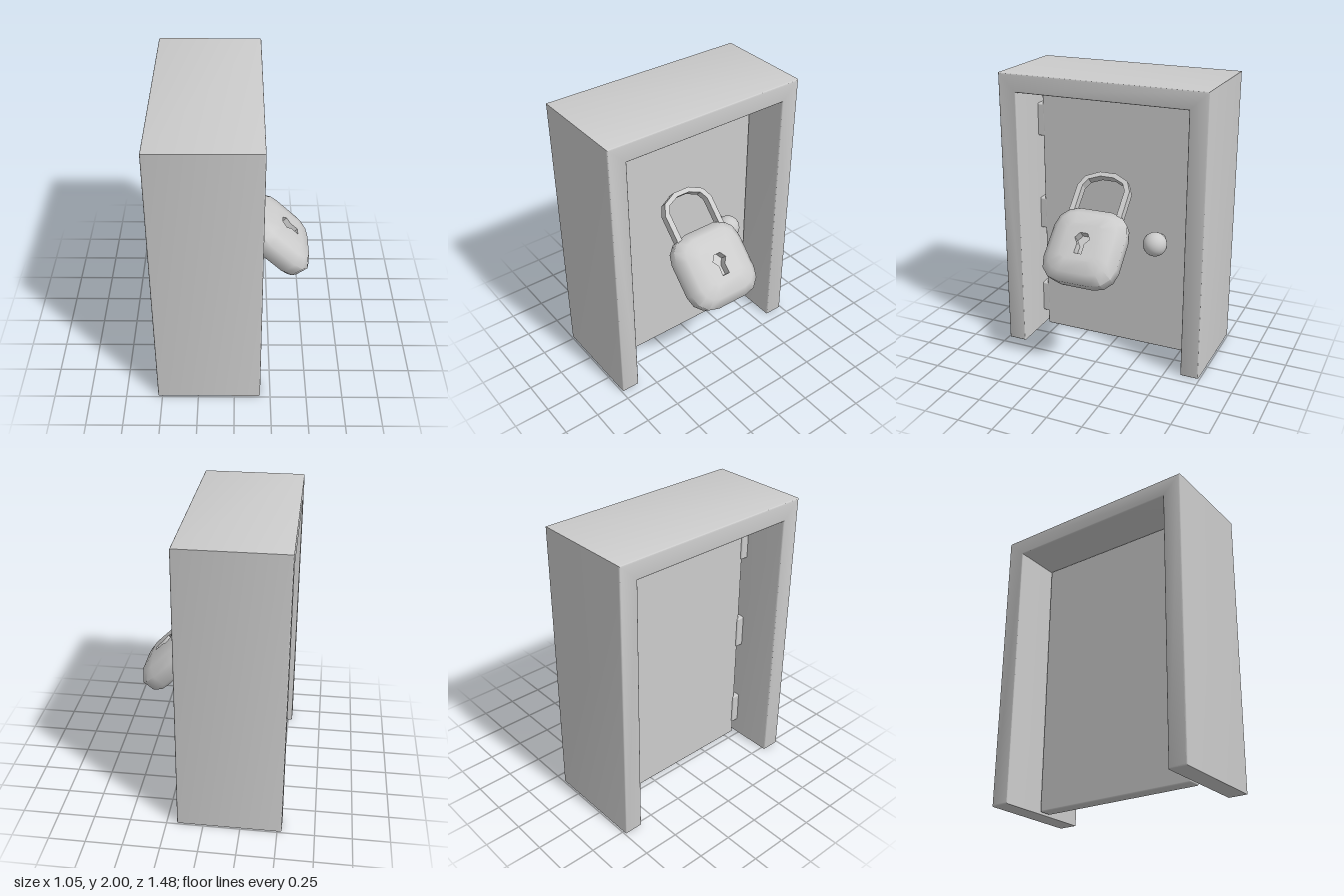
import * as THREE from 'three';
import { mergeVertices, mergeGeometries, toCreasedNormals } from 'three/addons/utils/BufferGeometryUtils.js';
import { RoundedBoxGeometry } from 'three/addons/geometries/RoundedBoxGeometry.js';

const material = new THREE.MeshStandardMaterial({ color: 0xcccccc });
const V = (x, y) => new THREE.Vector2(x, y);

function addPart(parent, name, geometry, x = 0, y = 0, z = 0) {
  const mesh = new THREE.Mesh(geometry, material);
  mesh.name = name;
  mesh.position.set(x, y, z);
  parent.add(mesh);
}

// Counter-clockwise outline of a rounded rectangle, 3 facets per corner
function roundedRect(w, h, r) {
  const points = [];
  for (let c = 0; c < 4; c++) {
    const cx = (c === 0 || c === 3 ? 1 : -1) * (w - r);
    const cy = (c < 2 ? 1 : -1) * (h - r);
    for (let i = 0; i <= 3; i++) {
      const a = (c + i / 3) * Math.PI / 2;
      points.push(V(cx + r * Math.cos(a), cy + r * Math.sin(a)));
    }
  }
  return points;
}

// Wall joining outlines with equal point counts; rings = [{ points, z }]
function loft(rings) {
  const n = rings[0].points.length, position = [], index = [];
  for (const { points, z } of rings) for (const p of points) position.push(p.x, p.y, z);
  for (let r = 0; r < rings.length - 1; r++) {
    for (let i = 0; i < n; i++) {
      const a = r * n + i, b = r * n + (i + 1) % n;
      index.push(a, b, b + n, a, b + n, a + n);
    }
  }
  const g = new THREE.BufferGeometry();
  g.setAttribute('position', new THREE.Float32BufferAttribute(position, 3));
  g.setIndex(index);
  return g;
}

// Flat cap at height z, optionally facing backwards
function cap(points, z, hole, back = false) {
  const shape = new THREE.Shape(points);
  if (hole) shape.holes.push(new THREE.Path(hole));
  const g = new THREE.ShapeGeometry(shape);
  g.deleteAttribute('uv');
  g.deleteAttribute('normal');
  if (back) g.setIndex(Array.from(g.index.array).reverse());
  return g.translate(0, 0, z);
}

// Keyhole: hexagon joined to a slot
function keyholeOutline() {
  const hexagon = [0, 1, 2, 3].map((i) => {
    const a = i * Math.PI / 3;
    return V(0.054 * Math.cos(a), 0.026 + 0.046 * Math.sin(a));
  });
  return [V(-0.027, -0.083), V(0.027, -0.083), V(0.025, -0.014), ...hexagon, V(-0.025, -0.014)];
}

function padlockBody() {
  // [depth, inset] pairs from back to front; the front is softer than the back
  const profile = [[-0.1, 0.035], [-0.074, 0.01], [0.02, 0], [0.075, 0.055], [0.097, 0.14]];
  const rings = profile.map(([z, inset]) => ({
    z, points: roundedRect(0.268 - inset, 0.271 - inset, 0.15 - inset * 0.75),
  }));
  const key = keyholeOutline();
  const parts = [
    loft(rings),
    cap(rings[0].points, -0.1, null, true),
    cap(rings[4].points, 0.097, key),
    loft([{ points: key, z: 0.097 }, { points: key, z: 0.035 }]),
    cap(key, 0.035),
  ];
  return toCreasedNormals(mergeVertices(mergeGeometries(parts), 1e-4), 0.95);
}

// Flat-sided loop with a five-facet arch
function shackleGeometry() {
  const arch = (rx, ry) => Array.from({ length: 6 }, (_, i) => {
    const a = i * Math.PI / 5;
    return V(rx * Math.cos(a), 0.44 + ry * Math.sin(a));
  });
  const outline = [
    V(0.195, 0.18), ...arch(0.195, 0.125), V(-0.195, 0.18),
    V(-0.157, 0.18), ...arch(0.157, 0.09).reverse(), V(0.157, 0.18),
  ];
  return new THREE.ExtrudeGeometry(new THREE.Shape(outline), { depth: 0.06, bevelEnabled: false })
    .translate(0, 0, -0.03);
}

// Upside-down U with softly rounded edges
function frameGeometry() {
  const bevel = 0.01;
  const outline = new THREE.Shape([
    V(-0.74, 0), V(-0.61, 0), V(-0.61, 1.872), V(0.61, 1.872),
    V(0.61, 0), V(0.74, 0), V(0.74, 2), V(-0.74, 2),
  ]);
  const g = new THREE.ExtrudeGeometry(outline, {
    depth: 0.71 - 2 * bevel, bevelSize: bevel, bevelThickness: bevel, bevelOffset: -bevel, bevelSegments: 3,
  });
  g.translate(0, 0, -0.355 + bevel).rotateY(Math.PI / 2);
  return toCreasedNormals(g, 0.65);
}

export function createModel() {
  const model = new THREE.Group();
  model.name = 'lockedDoor';
  const midX = -0.175;

  // Deep frame, open at the bottom
  addPart(model, 'doorFrame', frameGeometry(), midX, 0, 0);

  // Door panel, hinges and knob
  addPart(model, 'door', new RoundedBoxGeometry(0.095, 1.857, 1.172, 2, 0.01), -0.172, 0.9385, -0.013);
  for (const y of [0.23, 0.915, 1.62]) {
    addPart(model, 'hinge', new RoundedBoxGeometry(0.105, 0.235, 0.07, 2, 0.012), -0.177, y, 0.59);
  }
  addPart(model, 'knob', new THREE.SphereGeometry(0.084, 24, 16), -0.008, 0.866, -0.335);
  const stem = new THREE.CylinderGeometry(0.035, 0.035, 0.1, 16).rotateZ(Math.PI / 2);
  addPart(model, 'knobStem', stem, -0.09, 0.866, -0.335);

  // Padlock leaning out of the doorway
  const padlock = new THREE.Group();
  padlock.name = 'padlock';
  addPart(padlock, 'padlockBody', padlockBody());
  addPart(padlock, 'shackle', shackleGeometry());
  padlock.position.set(0.312, 0.9, 0.04);
  padlock.rotation.set(-Math.PI / 4, Math.PI / 2, 0, 'YXZ');
  model.add(padlock);

  return model;
}
